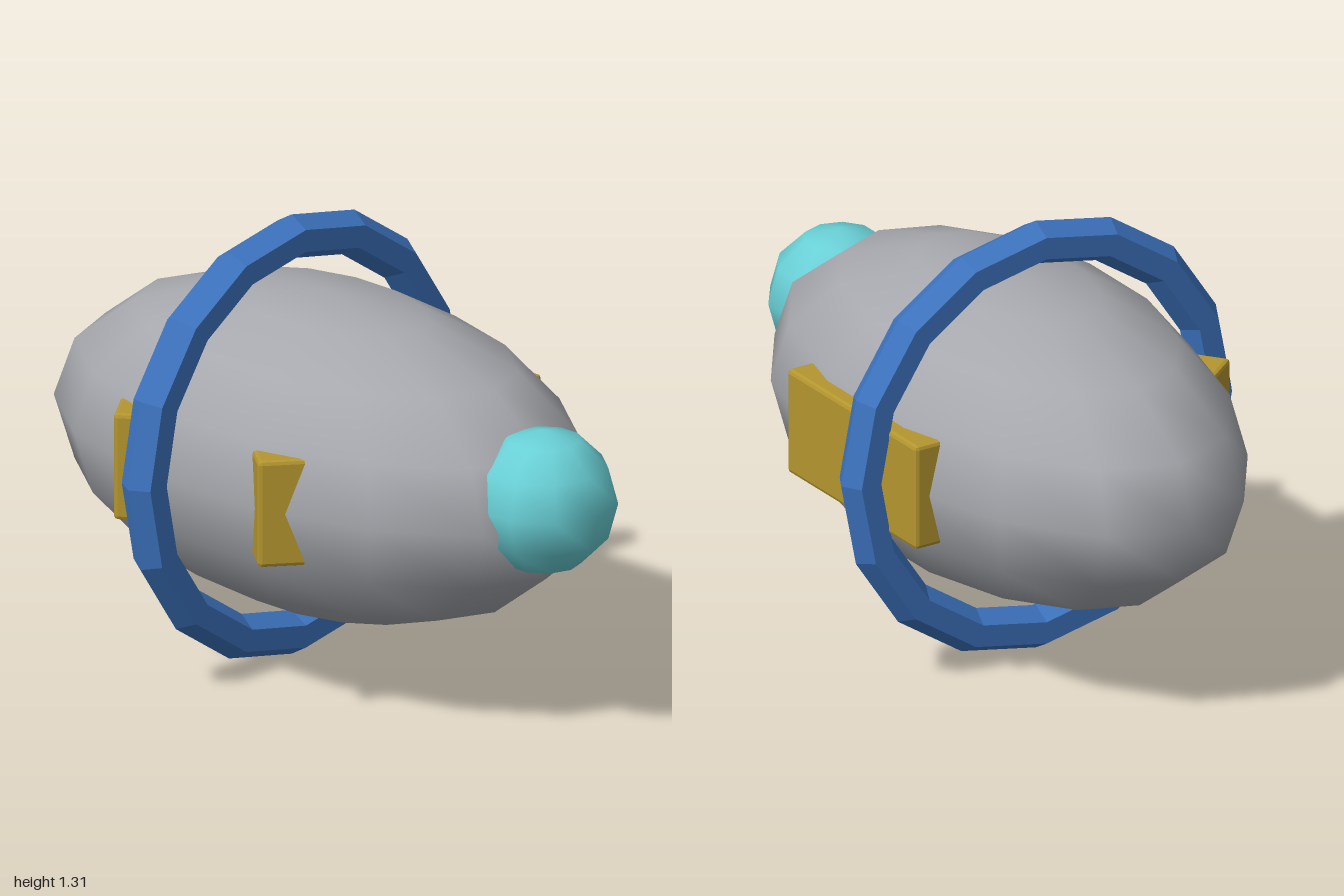
import * as THREE from 'three';
import { RoundedBoxGeometry } from 'three/addons/geometries/RoundedBoxGeometry.js';

function paint(name, color) {
  const m = new THREE.MeshStandardMaterial({ color });
  m.name = name;
  return m;
}

// Separate the faces so every facet gets its own normal
function facet(geometry) {
  const g = geometry.index ? geometry.toNonIndexed() : geometry;
  g.computeVertexNormals();
  return g;
}

export function createModel() {
  const model = new THREE.Group();
  model.name = 'podShip';

  const grey = paint('hullGrey', 0xa6a8ad);
  const blue = paint('ringBlue', 0x3d74c0);
  const gold = paint('plateGold', 0xb4962f);
  const cyan = paint('canopyCyan', 0x69d0d6);

  function add(name, geometry, material, x, y, z, turn = 0) {
    const mesh = new THREE.Mesh(geometry, material);
    mesh.name = name;
    mesh.position.set(x, y, z);
    mesh.rotation.y = turn;
    model.add(mesh);
    return mesh;
  }

  // Egg-shaped hull, with segment corners pointing along z
  const hull = new THREE.SphereGeometry(1, 14, 8).rotateY(Math.PI / 2).scale(0.53, 0.465, 0.935);
  add('hull', hull, grey, 0, 0.656, -0.065);

  // Bubble canopy on the nose
  const bubble = new THREE.SphereGeometry(0.21, 10, 6).rotateY(Math.PI / 2);
  add('canopy', bubble, cyan, 0, 0.71, 0.79);

  // Hexagonal-section ring around the hull
  add('ring', facet(new THREE.TorusGeometry(0.588, 0.065, 6, 16)), blue, 0, 0.656, -0.2);

  // Long bevelled plate on the +x side
  const plate = facet(new RoundedBoxGeometry(0.16, 0.316, 0.655, 1, 0.012));
  add('sidePlate', plate, gold, 0.45, 0.657, -0.065);

  // Two angled bevelled blocks on the -x side, mirrored front to back
  const block = facet(new RoundedBoxGeometry(0.16, 0.316, 0.14, 1, 0.012));
  const angle = Math.atan2(0.6, 0.8);
  for (const s of [1, -1]) {
    add(s > 0 ? 'frontBlock' : 'rearBlock', block, gold, -0.442, 0.657, -0.077 + s * 0.276, -s * angle);
  }

  return model;
}
